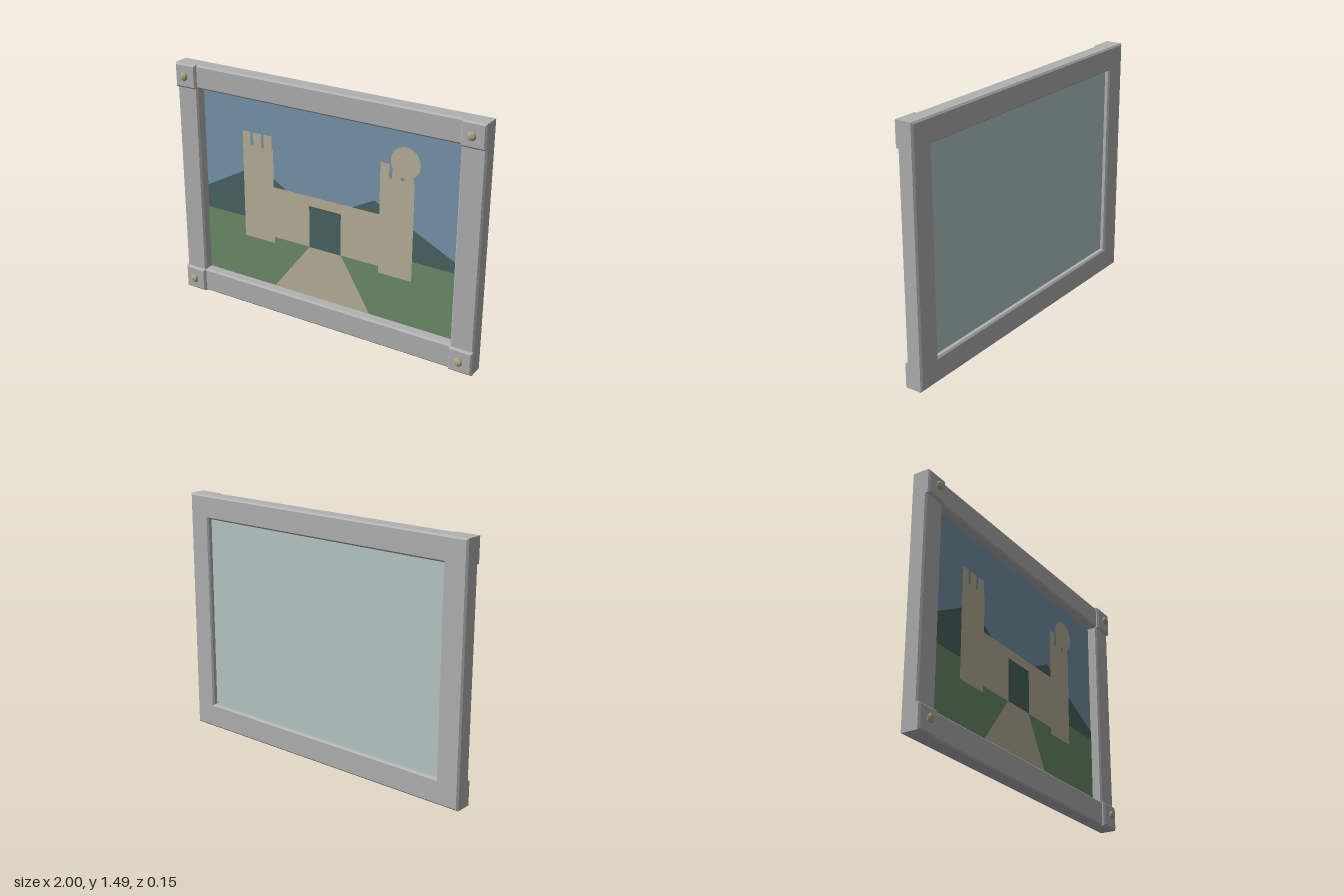
import * as THREE from 'three';

const mat = (name, color) => {
  const m = new THREE.MeshStandardMaterial({ color });
  m.name = name;
  return m;
};

// Closed shape from [x, y] corners
const poly = (pts) => new THREE.Shape(pts.map(([x, y]) => new THREE.Vector2(x, y)));
const rect = (x0, y0, x1, y1) => poly([[x0, y0], [x1, y0], [x1, y1], [x0, y1]]);

// Extrusion between two z values with chamfered edges kept inside the outline
function chamfered(shape, z0, z1, bevel) {
  const g = new THREE.ExtrudeGeometry(shape, {
    depth: z1 - z0 - 2 * bevel, bevelEnabled: true, bevelSegments: 1,
    bevelSize: bevel, bevelThickness: bevel, bevelOffset: -bevel,
  });
  return g.translate(0, 0, z0 + bevel);
}

export function createModel() {
  const model = new THREE.Group();
  model.name = 'framedPicture';

  const grey = mat('frame grey', 0xb2b2b2);
  const brass = mat('dull brass', 0xaea684);
  const sky = mat('sky blue', 0x7697ac);
  const hill = mat('hill slate', 0x4b6562);
  const grass = mat('grass green', 0x6d8d6a);
  const stone = mat('castle stone', 0xbab299);
  const backing = mat('pale backing', 0xb4c9c8);

  const add = (name, geometry, material, parent = model) => {
    const mesh = new THREE.Mesh(geometry, material);
    mesh.name = name;
    parent.add(mesh);
    return mesh;
  };

  const H = 1.485, IX = 0.855, Y0 = 0.15, Y1 = 1.342; // height and opening

  // Frame with rectangular opening
  const outline = rect(-1, 0, 1, H);
  outline.holes.push(rect(-IX, Y0, IX, Y1));
  add('frame', chamfered(outline, -0.07, 0.03, 0.01), grey);

  // Raised corner blocks, each with a flattened stud
  for (const [side, sx] of [['left', 1], ['right', -1]]) {
    for (const [level, top] of [['Bottom', false], ['Top', true]]) {
      const x0 = sx > 0 ? 0.855 : -1;
      const y0 = top ? H - 0.147 : 0;
      add(`${side}${level}CornerBlock`,
        chamfered(rect(x0, y0, x0 + 0.145, y0 + 0.147), 0.005, 0.047, 0.01), grey);
      const stud = new THREE.SphereGeometry(0.026, 8, 6).toNonIndexed();
      stud.scale(1, 1, 0.55);
      stud.computeVertexNormals();
      add(`${side}${level}Stud`, stud, brass).position.set(sx * 0.925, top ? 1.413 : 0.078, 0.061);
    }
  }

  // Picture panel: sky on the front face, pale backing elsewhere
  const panel = new THREE.BoxGeometry(2 * IX + 0.02, Y1 - Y0 + 0.02, 0.006);
  add('picturePanel', panel, [backing, backing, backing, backing, sky, backing])
    .position.set(0, (Y0 + Y1) / 2, -0.037);

  // Painted scene: flat faces layered just in front of the panel
  const scene = new THREE.Group();
  scene.name = 'paintedScene';
  model.add(scene);
  const paint = (name, shapes, material, layer) => {
    add(name, new THREE.ShapeGeometry(shapes, 20), material, scene).position.z = -0.034 + 0.0015 * layer;
  };

  paint('hills', [
    poly([[-IX, 0.5], [0.2, 0.5], [-0.47, 0.92], [-IX, 0.71]]),
    poly([[-0.47, 0.5], [0.2, 0.5], [-0.275, 0.805], [-0.47, 0.92]]),
    poly([[-0.4, 0.5], [IX, 0.5], [IX, 0.62], [0.32, 0.88]]),
  ], hill, 1);
  paint('grass', rect(-IX, Y0, IX, 0.565), grass, 2);

  // Castle wall and path
  paint('castleWall', rect(-0.37, 0.48, 0.365, 0.805), stone, 3);
  paint('path', poly([[-0.362, Y0], [0.302, Y0], [0.105, 0.48], [-0.11, 0.48]]), stone, 3);

  // Towers with battlements
  for (const [name, x] of [['rightTower', -0.575], ['leftTower', 0.355]]) {
    const shapes = [rect(x, 0.44, x + 0.215, 1.037)];
    for (let i = 0; i < 3; i++) {
      const mx = x + i * 0.075;
      shapes.push(rect(mx, 1.035, mx + 0.056, 1.122));
    }
    paint(name, shapes, stone, 4);
  }

  // Round disc above the left tower, and the gateway
  const disc = new THREE.Shape();
  disc.absarc(0.511, 1.147, 0.091, 0, Math.PI * 2);
  paint('disc', disc, stone, 5);
  paint('gateway', rect(-0.11, 0.48, 0.105, 0.745), hill, 5);

  return model;
}
